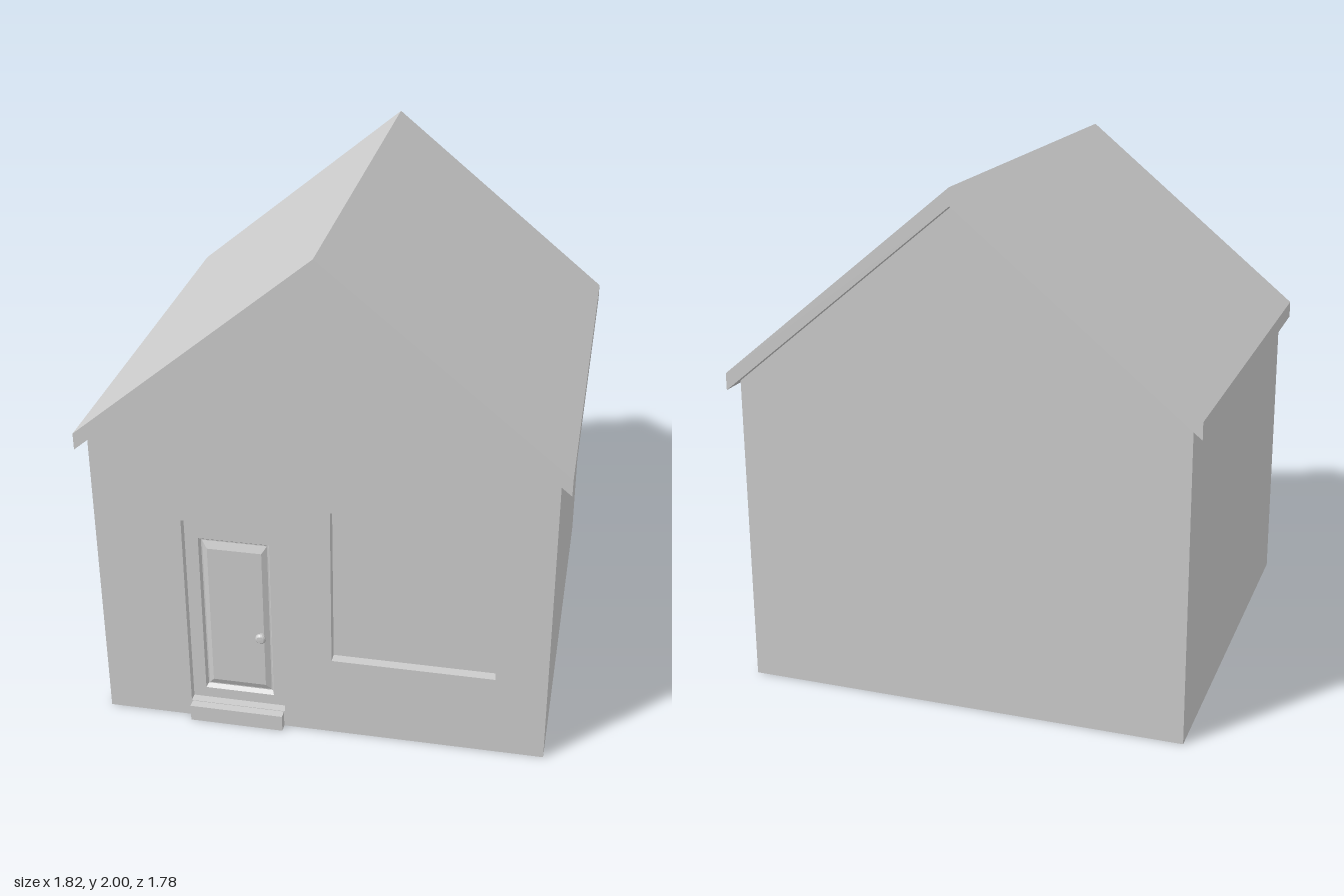
import * as THREE from 'three';

const W = 0.868, D = 0.852;            // half width and half depth of the walls
const mat = new THREE.MeshStandardMaterial({ color: 0xcccccc, flatShading: true, side: THREE.DoubleSide });

function part(name, geometry, x = 0, y = 0, z = 0) {
  const mesh = new THREE.Mesh(geometry, mat);
  mesh.name = name;
  mesh.position.set(x, y, z);
  return mesh;
}

const corners = ([x0, x1, y0, y1]) => [[x0, y0], [x1, y0], [x1, y1], [x0, y1]];

const polygon = (pts) => new THREE.Shape(pts.map(([x, y]) => new THREE.Vector2(x, y)));

// Joins rectangular rings [x0, x1, y0, y1, z] into a surface and caps the last one
function rectLoft(rings) {
  const pos = [], index = [];
  rings.forEach((r) => corners(r).forEach(([x, y]) => pos.push(x, y, r[4])));
  for (let i = 0; i + 1 < rings.length; i++) {
    for (let k = 0; k < 4; k++) {
      const a = i * 4 + k, b = i * 4 + (k + 1) % 4;
      index.push(a, b, b + 4, a, b + 4, a + 4);
    }
  }
  const n = (rings.length - 1) * 4;
  index.push(n, n + 1, n + 2, n, n + 2, n + 3);
  const g = new THREE.BufferGeometry();
  g.setAttribute('position', new THREE.Float32BufferAttribute(pos, 3));
  g.setIndex(index);
  const flat = g.toNonIndexed();
  flat.computeVertexNormals();
  return flat;
}

// Ring with its own inset on the sides, bottom and top
const inset = ([x0, x1, y0, y1], s, b, t, z) => [x0 + s, x1 - s, y0 + b, y1 - t, z];

export function createModel() {
  const house = new THREE.Group();
  house.name = 'house';

  const door = [-0.53, -0.15, 0.07, 0.905];
  const win = [0.04, 0.67, 0.34, 1.0];
  const gable = [[-W, 0], [W, 0], [W, 1.218], [0, 1.933], [-W, 1.218]];

  // Hollow walls, open underneath
  const front = polygon(gable);
  [door, win].forEach((o) => front.holes.push(polygon(corners(o).reverse())));
  house.add(part('frontWall', new THREE.ShapeGeometry(front), 0, 0, D));
  const back = part('backWall', new THREE.ShapeGeometry(polygon(gable)), 0, 0, -D);
  back.rotation.y = Math.PI;
  house.add(back);
  for (const s of [-1, 1]) {
    const wall = part(s > 0 ? 'leftWall' : 'rightWall', new THREE.PlaneGeometry(2 * D, 1.218), s * W, 0.609, 0);
    wall.rotation.y = s * Math.PI / 2;
    house.add(wall);
  }

  // Pitched roof slab with vertical eaves
  const roof = new THREE.ExtrudeGeometry(polygon([
    [-0.908, 1.187], [0, 1.934], [0.908, 1.187], [0.908, 1.253], [0, 2], [-0.908, 1.253],
  ]), { depth: 1.776, bevelEnabled: false });
  house.add(part('roof', roof, 0, 0, -0.888));

  // Recessed window
  house.add(part('window', rectLoft([[...win, D], [...win, D - 0.04]])));

  // Door: deep casing behind the wall, and a leaf with a raised panel
  const doorGroup = new THREE.Group();
  doorGroup.name = 'door';
  const z = D - 0.035;
  doorGroup.add(part('doorCasing', rectLoft([[...door, D], [...door, 0.3]])));
  doorGroup.add(part('doorLeaf', rectLoft([
    [...door, z],
    inset(door, 0.052, 0.045, 0.093, z),
    inset(door, 0.059, 0.058, 0.104, z - 0.015),
    inset(door, 0.064, 0.062, 0.108, z - 0.015),
    inset(door, 0.084, 0.088, 0.138, z - 0.003),
  ])));

  // Door knob
  const knob = new THREE.LatheGeometry(
    [[0.012, 0], [0.012, 0.01], [0.021, 0.016], [0.021, 0.024], [0.015, 0.031], [0, 0.032]]
      .map(([r, h]) => new THREE.Vector2(r, h)), 16);
  knob.rotateX(Math.PI / 2);
  doorGroup.add(part('doorKnob', knob, -0.243, 0.392, z - 0.004));
  house.add(doorGroup);

  // Doorstep
  house.add(part('doorstep', new THREE.BoxGeometry(0.372, 0.068, 0.034), -0.34, 0.034, D + 0.017));

  return house;
}
